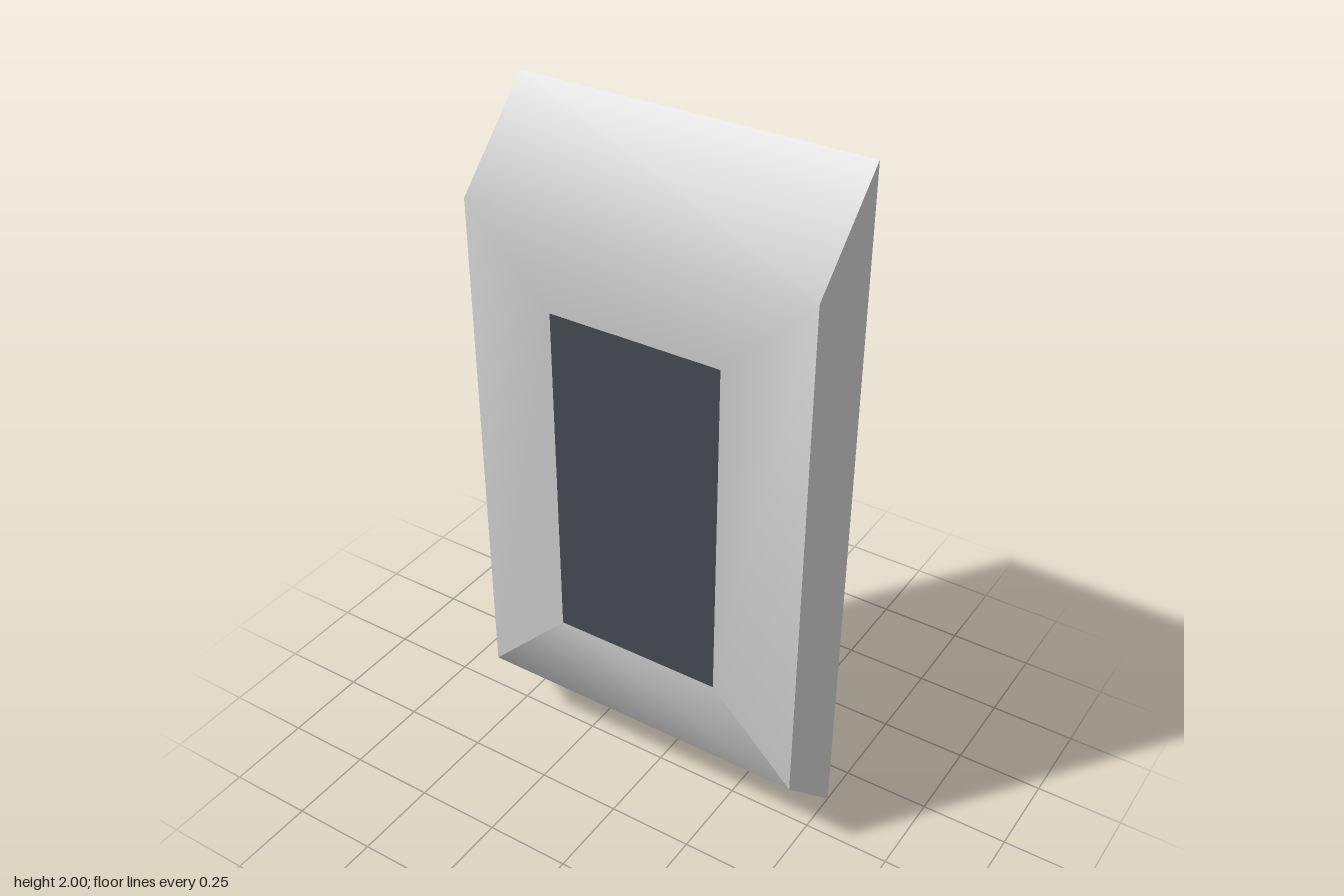
import * as THREE from 'three';

// Corners of an upright rectangle, counter-clockwise from the bottom left
const ring = (halfW, y0, y1, z) => [[-halfW, y0, z], [halfW, y0, z], [halfW, y1, z], [-halfW, y1, z]];

const BACK = ring(0.5, 0, 2, -0.125);       // open rear rim
const FRONT = ring(0.5, 0.25, 1.75, 0.125); // outer edge of the front face
const INNER = ring(0.25, 0.5, 1.5, 0.125);  // edge of the centre panel
const BOTTOM = 0, RIGHT = 1, TOP = 2, LEFT = 3;

const grey = new THREE.MeshStandardMaterial({ color: 0xcccccc, side: THREE.DoubleSide });
const dark = new THREE.MeshStandardMaterial({ color: 0x454a52, side: THREE.DoubleSide });

// Joins strips [outerRing, innerRing, side] into one surface, sharing vertices so shading blends
function stripMesh(name, strips) {
  const positions = [], index = [], seen = new Map();
  const vertex = (p) => {
    const key = p.join();
    if (!seen.has(key)) {
      seen.set(key, positions.length / 3);
      positions.push(...p);
    }
    return seen.get(key);
  };
  for (const [outer, inner, i] of strips) {
    const j = (i + 1) % 4;
    const [a, b, c, d] = [outer[i], outer[j], inner[j], inner[i]].map(vertex);
    index.push(a, b, d, b, c, d);
  }
  const geometry = new THREE.BufferGeometry();
  geometry.setAttribute('position', new THREE.Float32BufferAttribute(positions, 3));
  geometry.setIndex(index);
  geometry.computeVertexNormals();
  const mesh = new THREE.Mesh(geometry, grey);
  mesh.name = name;
  return mesh;
}

export function createModel() {
  const model = new THREE.Group();
  model.name = 'framedPanel';

  // Sloped top flowing into the upper and side borders
  model.add(stripMesh('upperFrame', [
    [BACK, FRONT, TOP], [FRONT, INNER, TOP], [FRONT, INNER, LEFT], [FRONT, INNER, RIGHT],
  ]));

  // Sloped underside flowing into the lower border
  model.add(stripMesh('lowerFrame', [[BACK, FRONT, BOTTOM], [FRONT, INNER, BOTTOM]]));

  // Flat side walls
  model.add(stripMesh('leftWall', [[BACK, FRONT, RIGHT]]));
  model.add(stripMesh('rightWall', [[BACK, FRONT, LEFT]]));

  // Dark centre panel
  const panel = new THREE.Mesh(new THREE.PlaneGeometry(0.5, 1), dark);
  panel.name = 'centrePanel';
  panel.position.set(0, 1, 0.125);
  model.add(panel);

  return model;
}
